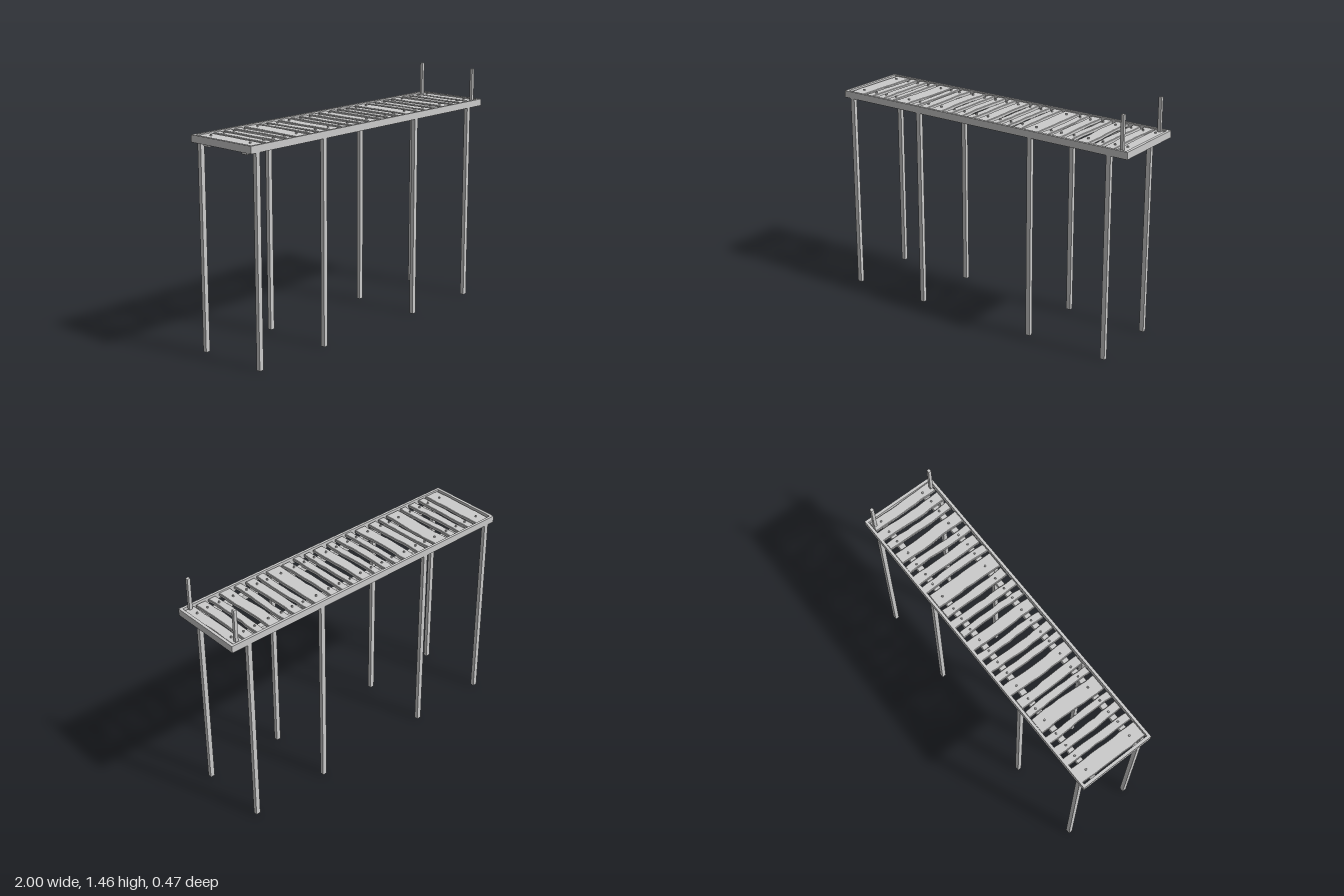
import * as THREE from 'three';
import { RoundedBoxGeometry } from 'three/addons/geometries/RoundedBoxGeometry.js';

const material = new THREE.MeshStandardMaterial({ color: 0xcccccc, flatShading: true });

// Small seeded generator, returns values in -1..1
function seeded(seed) {
  let s = seed;
  return () => {
    s = (s * 16807) % 2147483647;
    return (s / 2147483647) * 2 - 1;
  };
}

function add(parent, name, geometry, x, y, z) {
  const mesh = new THREE.Mesh(geometry, material);
  mesh.name = name;
  mesh.position.set(x, y, z);
  parent.add(mesh);
  return mesh;
}

// Rough-sawn plank: wavy outline in x/z, bevelled edges, slightly warped ends
function plankGeometry(width, rand) {
  const z0 = -0.221 + 0.006 * rand();
  const z1 = 0.214 + 0.006 * rand();
  const bevel = 0.003;
  const steps = 9;
  const bow = 0.004 * rand();
  const phase = 3 * rand();
  const left = [];
  const right = [];
  for (let i = 0; i <= steps; i++) {
    const t = i / steps;
    const z = z0 + bevel + (z1 - z0 - 2 * bevel) * t;
    const sway = bow * Math.sin(t * 6 + phase);
    const half = width / 2 - bevel;
    left.push(new THREE.Vector2(-half + sway + 0.0025 * rand(), -z));
    right.push(new THREE.Vector2(half + sway + 0.0025 * rand(), -z));
  }
  const geometry = new THREE.ExtrudeGeometry(new THREE.Shape([...left, ...right.reverse()]), {
    depth: 0.014, bevelThickness: bevel, bevelSize: bevel, bevelSegments: 1,
  });
  geometry.rotateX(-Math.PI / 2);
  geometry.translate(0, bevel, 0);
  return geometry;
}

export function createModel() {
  const model = new THREE.Group();
  model.name = 'pier';
  const rand = seeded(4711);

  // Outer frame: an open rectangular rim
  const rim = new THREE.Shape([[-1, -0.235], [1, -0.235], [1, 0.235], [-1, 0.235]]
    .map(([x, y]) => new THREE.Vector2(x, y)));
  rim.holes.push(new THREE.Path([[-0.982, -0.219], [-0.982, 0.219], [0.982, 0.219], [0.982, -0.219]]
    .map(([x, y]) => new THREE.Vector2(x, y))));
  const rimGeometry = new THREE.ExtrudeGeometry(rim, { depth: 0.042, bevelEnabled: false });
  rimGeometry.rotateX(-Math.PI / 2);
  add(model, 'frame', rimGeometry, 0, 1.22, 0);

  for (const side of [-1, 1]) {
    // Long stringers carrying the planks
    add(model, 'stringer', new RoundedBoxGeometry(1.91, 0.036, 0.04, 1, 0.006), -0.018, 1.218, side * 0.15);

    // Legs under the frame
    for (const x of [-0.945, -0.43, 0.365, 0.88]) {
      add(model, 'leg', new THREE.BoxGeometry(0.028, 1.225, 0.025), x, 0.6125, side * 0.218);
    }

    // Mooring posts at one end
    add(model, 'post', new RoundedBoxGeometry(0.021, 0.22, 0.02, 1, 0.003), 0.947, 1.345, side * 0.2);
  }

  // Deck planks: centre x and width of each
  const planks = [
    [-0.922, 0.102], [-0.826, 0.05], [-0.749, 0.053], [-0.669, 0.043], [-0.573, 0.098],
    [-0.483, 0.044], [-0.414, 0.06], [-0.315, 0.077], [-0.224, 0.044], [-0.15, 0.054],
    [-0.067, 0.048], [0.019, 0.07], [0.107, 0.043], [0.179, 0.049], [0.262, 0.054],
    [0.358, 0.097], [0.452, 0.049], [0.524, 0.065], [0.607, 0.049], [0.695, 0.076],
    [0.789, 0.049], [0.867, 0.065], [0.946, 0.065],
  ];
  const deck = new THREE.Group();
  deck.name = 'deck';
  model.add(deck);
  const nail = new THREE.CylinderGeometry(0.005, 0.007, 0.012, 8);
  for (const [x, width] of planks) {
    const plank = add(deck, 'plank', plankGeometry(width, rand), x, 1.235, 0);
    plank.rotation.y = 0.01 * rand();
    for (const z of [-0.158, 0.144]) {
      add(deck, 'nail', nail, x + 0.005 * rand(), 1.258, z + 0.004 * rand());
    }
  }

  return model;
}
